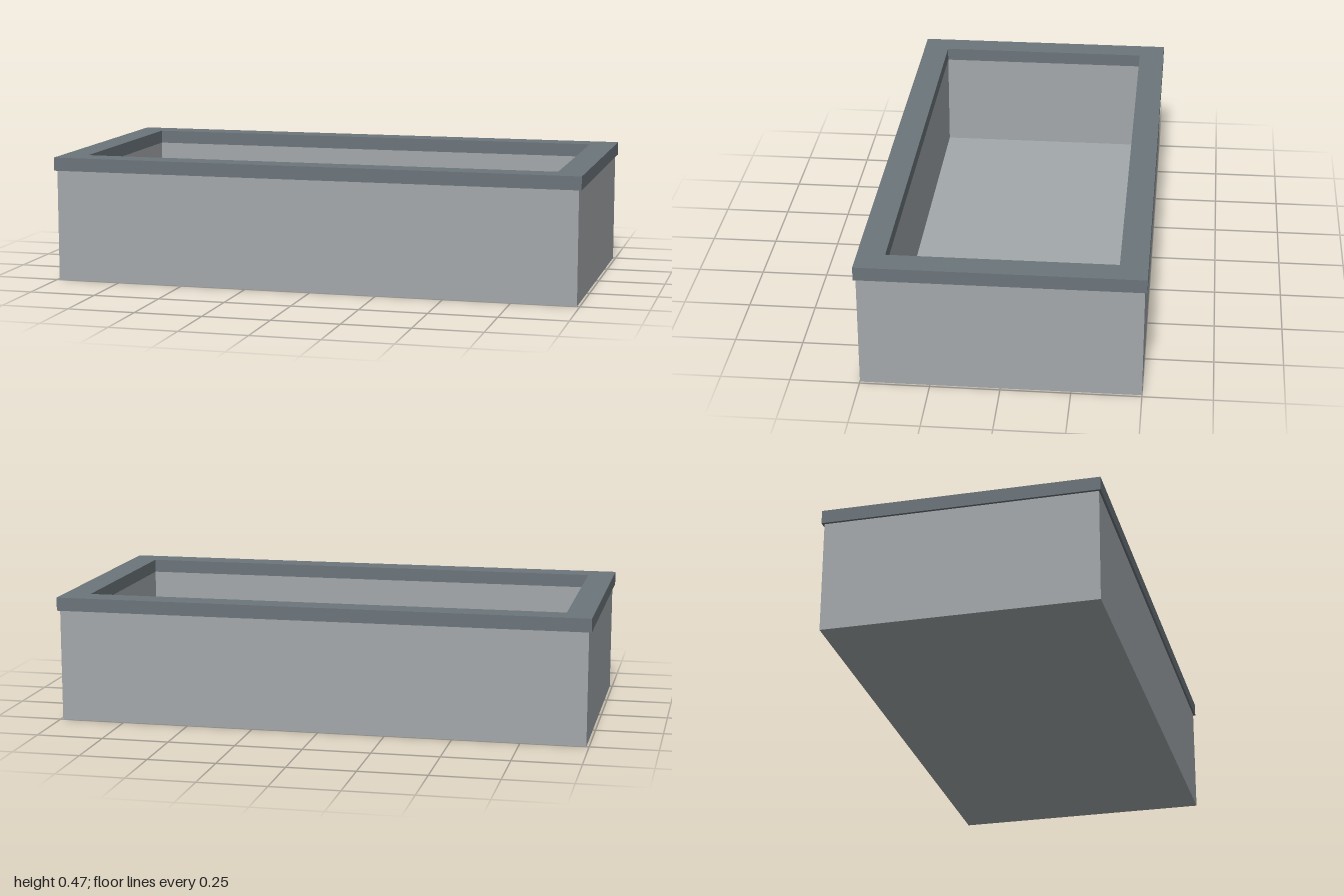
import * as THREE from 'three';

// Rectangular frame with a rectangular hole, lying flat, base at y
function frame(halfX, halfZ, holeX, holeZ, y, height, material, name) {
  const rect = (T, x, z) => new T([
    new THREE.Vector2(-x, -z), new THREE.Vector2(x, -z),
    new THREE.Vector2(x, z), new THREE.Vector2(-x, z),
  ]);
  const shape = rect(THREE.Shape, halfX, halfZ);
  shape.holes.push(rect(THREE.Path, holeX, holeZ));
  const geometry = new THREE.ExtrudeGeometry(shape, { depth: height, bevelEnabled: false });
  geometry.rotateX(-Math.PI / 2);
  const mesh = new THREE.Mesh(geometry, material);
  mesh.position.y = y;
  mesh.name = name;
  return mesh;
}

export function createModel() {
  const group = new THREE.Group();
  group.name = 'planterTrough';
  const stone = new THREE.MeshStandardMaterial({ color: 0xa3a8ab });
  stone.name = 'light grey stone';
  const trim = new THREE.MeshStandardMaterial({ color: 0x6c757b });
  trim.name = 'dark grey trim';

  const holeX = 0.9, holeZ = 0.408;
  const floorY = 0.05, rimY = 0.42;

  // Solid base slab, whose top is the inner floor
  const base = new THREE.Mesh(new THREE.BoxGeometry(1.98, floorY, 1.0), stone);
  base.position.y = floorY / 2;
  base.name = 'floor';
  group.add(base);

  // Side walls
  group.add(frame(0.99, 0.5, holeX, holeZ, floorY, rimY - floorY, stone, 'walls'));

  // Slightly overhanging rim
  group.add(frame(1, 0.508, holeX, holeZ, rimY, 0.05, trim, 'rim'));

  return group;
}
